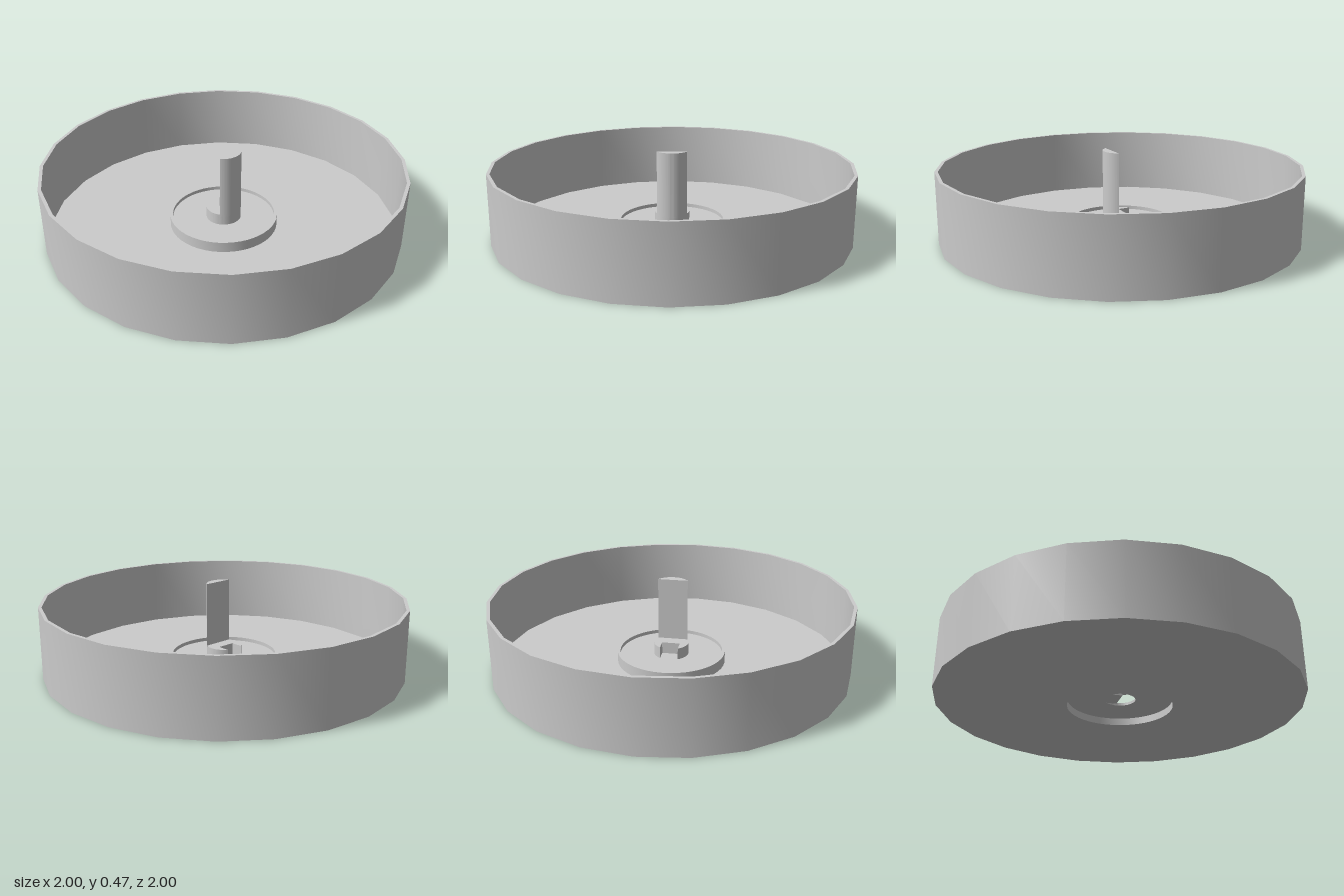
import * as THREE from 'three';
import { toCreasedNormals } from 'three/addons/utils/BufferGeometryUtils.js';

const material = new THREE.MeshStandardMaterial({ color: 0xcccccc });

function add(group, name, geometry) {
  const mesh = new THREE.Mesh(toCreasedNormals(geometry, 0.6), material);
  mesh.name = name;
  group.add(mesh);
}

// Closed profile of [radius, height] pairs, turned around the y axis
function turned(profile, sides) {
  const points = [...profile, profile[0]].map(([r, y]) => new THREE.Vector2(r, y));
  return new THREE.LatheGeometry(points, sides);
}

// Plan shape (shape y points to the back) raised from y0 to y1
function raised(shape, y0, y1) {
  const geometry = new THREE.ExtrudeGeometry(shape, { depth: y1 - y0, bevelEnabled: false, curveSegments: 32 });
  return geometry.rotateX(-Math.PI / 2).translate(0, y0, 0);
}

// Disc with a slot cut in from the back
function horseshoe(radius, slotHalf, slotEnd) {
  const a = Math.acos(slotHalf / radius);
  const shape = new THREE.Shape();
  shape.moveTo(slotHalf, slotEnd);
  shape.lineTo(slotHalf, Math.sin(a) * radius);
  shape.absarc(0, 0, radius, a, Math.PI - a, true);
  shape.lineTo(-slotHalf, slotEnd);
  shape.closePath();
  return shape;
}

export function createModel() {
  const group = new THREE.Group();
  const floorTop = 0.015, plateBottom = 0.04, plateTop = 0.055, hubTop = 0.12;

  // Round tray: flat floor and thin upright wall
  add(group, 'tray', turned([
    [0.296, 0], [1, 0], [1, 0.397], [0.982, 0.397], [0.982, floorTop], [0.296, floorTop],
  ], 24));

  // Collar standing around the middle, open below as a shallow recess
  add(group, 'collar', turned([
    [0.288, 0], [0.303, 0], [0.303, 0.075], [0.288, 0.075],
  ], 48));

  // Raised middle plate, open under the hollow hub
  const cavity = horseshoe(0.085, 0.061, 0.003);
  const plate = new THREE.Shape();
  plate.absarc(0, 0, 0.292, 0, Math.PI * 2, false);
  plate.holes.push(cavity);
  add(group, 'middlePlate', raised(plate, plateBottom, plateTop));

  // Slotted hub: hollow wall and its cap
  const wall = horseshoe(0.097, 0.05, 0.015);
  wall.holes.push(cavity);
  add(group, 'hubWall', raised(wall, plateTop - 0.005, hubTop - 0.012));
  add(group, 'hubCap', raised(horseshoe(0.097, 0.05, 0.015), hubTop - 0.012, hubTop));

  // Post with a flat back and a round front
  const a = Math.asin(0.05 / 0.097);
  const post = new THREE.Shape();
  post.absarc(0, 0, 0.097, Math.PI + a, Math.PI * 2 - a, false);
  post.closePath();
  add(group, 'post', raised(post, hubTop - 0.005, 0.473));

  return group;
}
